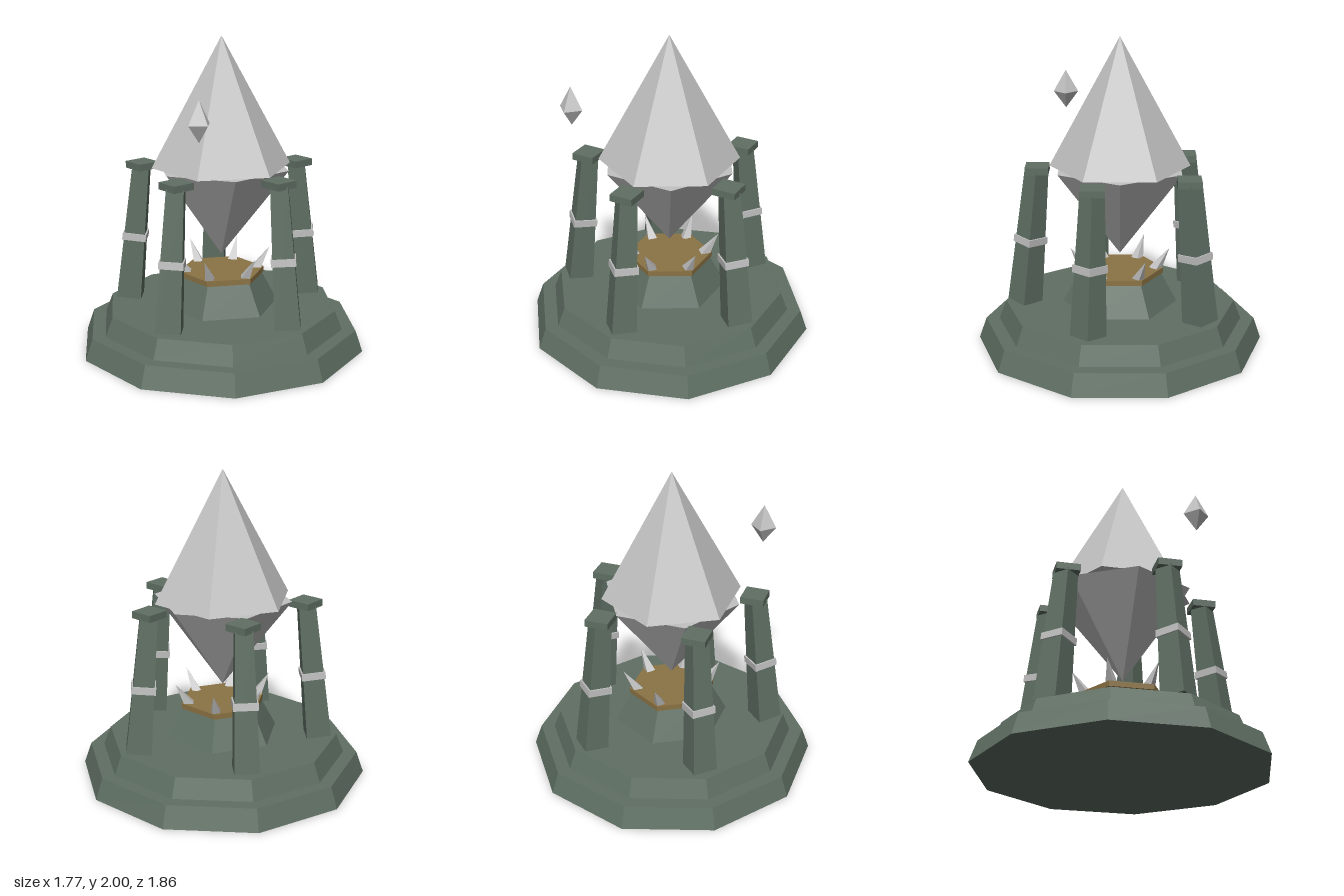
import * as THREE from 'three';

const mat = (name, color) => {
  const m = new THREE.MeshStandardMaterial({ color, flatShading: true });
  m.name = name;
  return m;
};

export function createModel() {
  const stone = mat('stone', 0x5f6f63);
  const crystal = mat('crystal', 0xc2c2c2);
  const brass = mat('brass', 0x8b7344);

  const root = new THREE.Group();
  root.name = 'crystalShrine';

  // Faceted frustum standing between two points
  const up = new THREE.Vector3(0, 1, 0);
  function frustum(name, material, sides, from, to, rFrom, rTo, turn = 0) {
    const a = new THREE.Vector3(...from), b = new THREE.Vector3(...to);
    const dir = b.clone().sub(a);
    const geo = new THREE.CylinderGeometry(rTo, rFrom, dir.length(), sides);
    geo.rotateY(turn);
    const mesh = new THREE.Mesh(geo, material);
    mesh.name = name;
    mesh.position.copy(a).add(b).multiplyScalar(0.5);
    mesh.quaternion.setFromUnitVectors(up, dir.normalize());
    root.add(mesh);
    return mesh;
  }
  const upright = (name, material, sides, y0, y1, r0, r1, turn) =>
    frustum(name, material, sides, [0, y0, 0], [0, y1, 0], r0, r1, turn);

  // Stepped base, pedestal and brass plate
  upright('lowerStep', stone, 10, 0, 0.137, 0.928, 0.88);
  upright('upperStep', stone, 10, 0.137, 0.26, 0.793, 0.745);
  upright('pedestal', stone, 6, 0.26, 0.455, 0.37, 0.265);
  upright('pedestalPlate', brass, 6, 0.455, 0.49, 0.28, 0.28);

  // Great crystal: the two halves are turned against each other
  upright('crystalTop', crystal, 6, 1.178, 2, 0.447, 0);
  upright('crystalBottom', crystal, 6, 0.592, 1.176, 0, 0.444, Math.PI / 6);

  // Small floating crystal
  frustum('shardTop', crystal, 4, [-0.485, 1.557, 0.36], [-0.485, 1.7, 0.36], 0.081, 0);
  frustum('shardBottom', crystal, 4, [-0.485, 1.447, 0.36], [-0.485, 1.557, 0.36], 0, 0.081);

  // Five leaning pillars with bands and flat caps
  for (let i = 0; i < 5; i++) {
    const a = (i * Math.PI * 2) / 5;
    const at = (y) => {
      const r = 0.62 - ((y - 0.267) / 0.87) * 0.09;
      return [Math.sin(a) * r, y, Math.cos(a) * r];
    };
    frustum('pillar', stone, 4, at(0.267), at(1.142), 0.112, 0.076);
    frustum('pillarBand', crystal, 4, at(0.662), at(0.708), 0.109, 0.108);
    const cap = new THREE.Mesh(new THREE.BoxGeometry(0.15, 0.044, 0.15), stone);
    cap.name = 'pillarCap';
    cap.position.set(Math.sin(a) * 0.525, 1.156, Math.cos(a) * 0.525);
    root.add(cap);
  }

  // Six spikes splayed around the plate
  for (let i = 0; i < 6; i++) {
    const a = (i * Math.PI) / 3, s = Math.sin(a), c = Math.cos(a);
    frustum('spike', crystal, 4, [s * 0.226, 0.475, c * 0.226], [s * 0.32, 0.625, c * 0.32], 0.042, 0);
  }

  return root;
}
